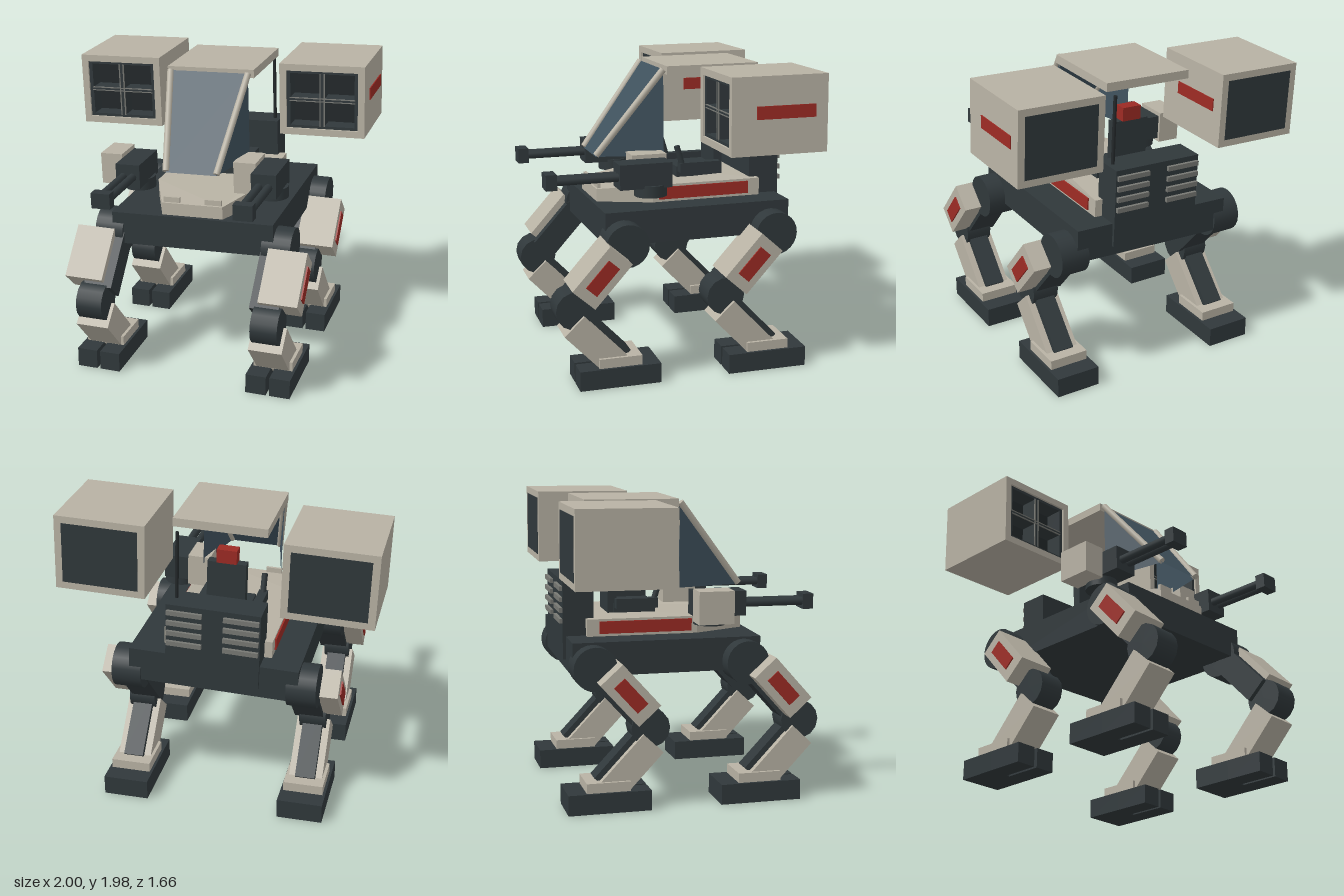
import * as THREE from 'three';

const paint = (color, side = THREE.FrontSide) => new THREE.MeshStandardMaterial({ color, side });
const light = paint(0xb8b2a4), dark = paint(0x30383b), black = paint(0x23282a),
  red = paint(0x9c2b24), grey = paint(0x777873), glass = paint(0x40525e, THREE.DoubleSide);

function add(parent, name, geometry, material, x = 0, y = 0, z = 0) {
  const m = new THREE.Mesh(geometry, material);
  m.name = name;
  m.position.set(x, y, z);
  parent.add(m);
  return m;
}
const box = (parent, name, mat, w, h, d, x, y, z) =>
  add(parent, name, new THREE.BoxGeometry(w, h, d), mat, x, y, z);

// Cylinder running between two points
function rod(parent, name, mat, r, a, b, sides = 12) {
  const p = new THREE.Vector3(...a), q = new THREE.Vector3(...b), d = q.clone().sub(p);
  const m = add(parent, name, new THREE.CylinderGeometry(r, r, d.length(), sides), mat);
  m.position.copy(p).add(q).multiplyScalar(0.5);
  m.quaternion.setFromUnitVectors(new THREE.Vector3(0, 1, 0), d.normalize());
  return m;
}

// Rectangular plate or sleeve with rectangular holes, facing +z
function pierced(w, h, depth, holes) {
  const ring = (P, x, y, w, h) => {
    const p = new P();
    p.moveTo(x - w / 2, y - h / 2);
    p.lineTo(x + w / 2, y - h / 2);
    p.lineTo(x + w / 2, y + h / 2);
    p.lineTo(x - w / 2, y + h / 2);
    p.closePath();
    return p;
  };
  const s = ring(THREE.Shape, 0, 0, w, h);
  for (const o of holes) s.holes.push(ring(THREE.Path, ...o));
  return new THREE.ExtrudeGeometry(s, { depth, bevelEnabled: false });
}

function makeLeg(side) {
  const leg = new THREE.Group();
  leg.name = 'leg';
  // foot with two toes
  box(leg, 'heel', dark, 0.295, 0.13, 0.27, 0, 0.065, 0.295);
  for (const s of [-1, 1]) box(leg, 'toe', dark, 0.136, 0.13, 0.26, s * 0.0795, 0.065, 0.56);
  box(leg, 'ankle', light, 0.26, 0.065, 0.28, 0, 0.16, 0.42);
  // shin leans backwards from the knee
  const shin = new THREE.Group();
  shin.name = 'shin';
  shin.position.set(0, 0.275, 0.575);
  shin.rotation.x = 0.76;
  box(shin, 'shinArmour', light, 0.22, 0.4, 0.177, 0, 0, 0);
  box(shin, 'shinStrut', dark, 0.13, 0.46, 0.05, 0, 0.02, -0.1);
  leg.add(shin);
  rod(leg, 'knee', dark, 0.125, [-0.0875, 0.515, 0.7], [0.0875, 0.515, 0.7], 14);
  // thigh leans forwards from the hip
  const thigh = new THREE.Group();
  thigh.name = 'thigh';
  thigh.position.set(0, 0.75, 0.55);
  thigh.rotation.x = -0.73;
  box(thigh, 'thighArmour', light, 0.255, 0.36, 0.19, side * 0.065, 0, 0);
  box(thigh, 'thighCore', dark, 0.19, 0.44, 0.17, side * -0.025, 0.01, -0.035);
  box(thigh, 'thighStripe', red, 0.02, 0.22, 0.09, side * 0.192, 0, 0);
  leg.add(thigh);
  rod(leg, 'hip', dark, 0.14, [side * -0.115, 0.9, 0.355], [side * 0.075, 0.9, 0.355], 24);
  return leg;
}

function makePod(x) {
  const pod = new THREE.Group();
  pod.name = 'launcherPod';
  pod.position.set(x, 1.705, -0.51);
  add(pod, 'podShell', pierced(0.57, 0.48, 0.62, [[0, 0, 0.48, 0.39]]), light, 0, 0, -0.31);
  const cells = [];
  for (const i of [-1, 1]) for (const j of [-1, 1]) cells.push([i * 0.115, j * 0.094, 0.2, 0.165]);
  add(pod, 'cellGrid', pierced(0.48, 0.39, 0.13, cells), dark, 0, 0, 0.165);
  box(pod, 'cellFloor', black, 0.48, 0.39, 0.02, 0, 0, 0.165);
  // thin rims beside the cell dividers
  for (const s of [-1, 1]) {
    box(pod, 'cellRim', grey, 0.008, 0.36, 0.008, s * 0.014, 0, 0.295);
    box(pod, 'cellRim', grey, 0.44, 0.006, 0.008, 0, s * 0.01, 0.295);
  }
  box(pod, 'podRearPanel', dark, 0.48, 0.39, 0.02, 0, 0, -0.302);
  box(pod, 'podStripe', red, 0.02, 0.08, 0.38, 0.282, 0.02, -0.04);
  return pod;
}

function makeGun(x) {
  const gun = new THREE.Group();
  gun.name = 'gun';
  gun.position.x = x;
  rod(gun, 'gunMount', dark, 0.105, [0, 1.15, 0.15], [0, 1.225, 0.15], 24);
  box(gun, 'gunBody', dark, 0.165, 0.16, 0.34, 0, 1.29, 0.2);
  box(gun, 'ammoBox', light, 0.15, 0.21, 0.23, -0.16, 1.29, 0.13);
  for (const s of [-1, 1])
    rod(gun, 'barrel', dark, 0.027, [s * 0.032, 1.285, 0.35], [s * 0.032, 1.285, 0.78]);
  box(gun, 'muzzle', dark, 0.125, 0.1, 0.07, 0, 1.285, 0.8);
  return gun;
}

function makeDeck() {
  const plan = [[-0.35, -0.63], [0.35, -0.63], [0.35, 0.1], [0.205, 0.44], [-0.205, 0.44], [-0.35, 0.1]];
  const s = new THREE.Shape(plan.map(([x, z]) => new THREE.Vector2(x, -z)));
  const g = new THREE.ExtrudeGeometry(s, { depth: 0.125, bevelEnabled: false }).rotateX(-Math.PI / 2);
  // lower the nose of the deck
  const p = g.attributes.position;
  for (let i = 0; i < p.count; i++)
    if (p.getZ(i) > 0.4 && p.getY(i) > 0.1) p.setY(i, 0.095);
  g.computeVertexNormals();
  return g;
}

function makeCockpit() {
  const c = new THREE.Group();
  c.name = 'cockpit';
  const top = 0.265, low = 0.17, y0 = 1.36, y1 = 1.92, z1 = 0.43;
  // windscreen and two triangular side windows
  const pane = (name, pts, index) => {
    const g = new THREE.BufferGeometry();
    g.setAttribute('position', new THREE.Float32BufferAttribute(pts.flat(), 3));
    g.setIndex(index);
    g.computeVertexNormals();
    add(c, name, g, glass);
  };
  pane('windscreen', [[-low, y0, z1], [low, y0, z1], [top, y1, 0], [-top, y1, 0]], [0, 1, 2, 0, 2, 3]);
  pane('sideWindow', [[low, y0, z1], [top, y0, 0], [top, y1, 0]], [0, 1, 2]);
  pane('sideWindow', [[-low, y0, z1], [-top, y0, 0], [-top, y1, 0]], [0, 2, 1]);
  for (const s of [-1, 1]) {
    rod(c, 'windowPillar', light, 0.022, [s * low, y0 + 0.01, z1], [s * top, y1, 0]);
    box(c, 'armrest', dark, 0.06, 0.065, 0.28, s * 0.18, 1.255, -0.27);
    rod(c, 'controlStick', dark, 0.02, [s * 0.18, 1.28, -0.15], [s * 0.18, 1.4, -0.115]);
    box(c, 'deckHinge', light, 0.11, 0.035, 0.02, s * 0.14, 1.175, 0.42);
  }
  box(c, 'roof', light, 0.59, 0.055, 0.62, 0.005, 1.915, -0.325);
  // seat
  box(c, 'seatBase', dark, 0.26, 0.07, 0.28, 0, 1.215, -0.27);
  box(c, 'seatBack', dark, 0.25, 0.42, 0.06, 0, 1.39, -0.42);
  box(c, 'headrest', red, 0.13, 0.09, 0.08, 0, 1.645, -0.42);
  return c;
}

export function createModel() {
  const model = new THREE.Group();
  model.name = 'walker';
  model.position.x = 0.02;

  for (const side of [-1, 1]) for (const z of [0, -0.99]) {
    const leg = makeLeg(side);
    leg.position.set(side * 0.585, 0, z);
    model.add(leg);
  }

  // upper body rolls slightly to one side
  const body = new THREE.Group();
  body.name = 'body';
  body.rotation.z = 0.035;
  body.position.x = 0.034;
  model.add(body);

  box(body, 'hull', dark, 1.09, 0.215, 1.23, 0, 0.965, -0.145);
  add(body, 'deck', makeDeck(), light, 0, 1.06, 0);
  body.add(makeCockpit());

  // engine block with cooling slats and aerial
  box(body, 'engineBlock', dark, 0.6, 0.51, 0.2, 0, 1.175, -0.68);
  for (const s of [-1, 1]) {
    box(body, 'deckStripe', red, 0.02, 0.08, 0.61, s * 0.35, 1.13, -0.245);
    for (let i = 0; i < 4; i++)
      box(body, 'coolingSlat', grey, 0.225, 0.03, 0.03, s * 0.18, 1.17 + i * 0.07, -0.785);
    body.add(makePod(s * 0.705), makeGun(s * 0.46));
  }
  rod(body, 'aerial', black, 0.012, [0.26, 1.42, -0.67], [0.26, 1.87, -0.67], 8);
  return model;
}
